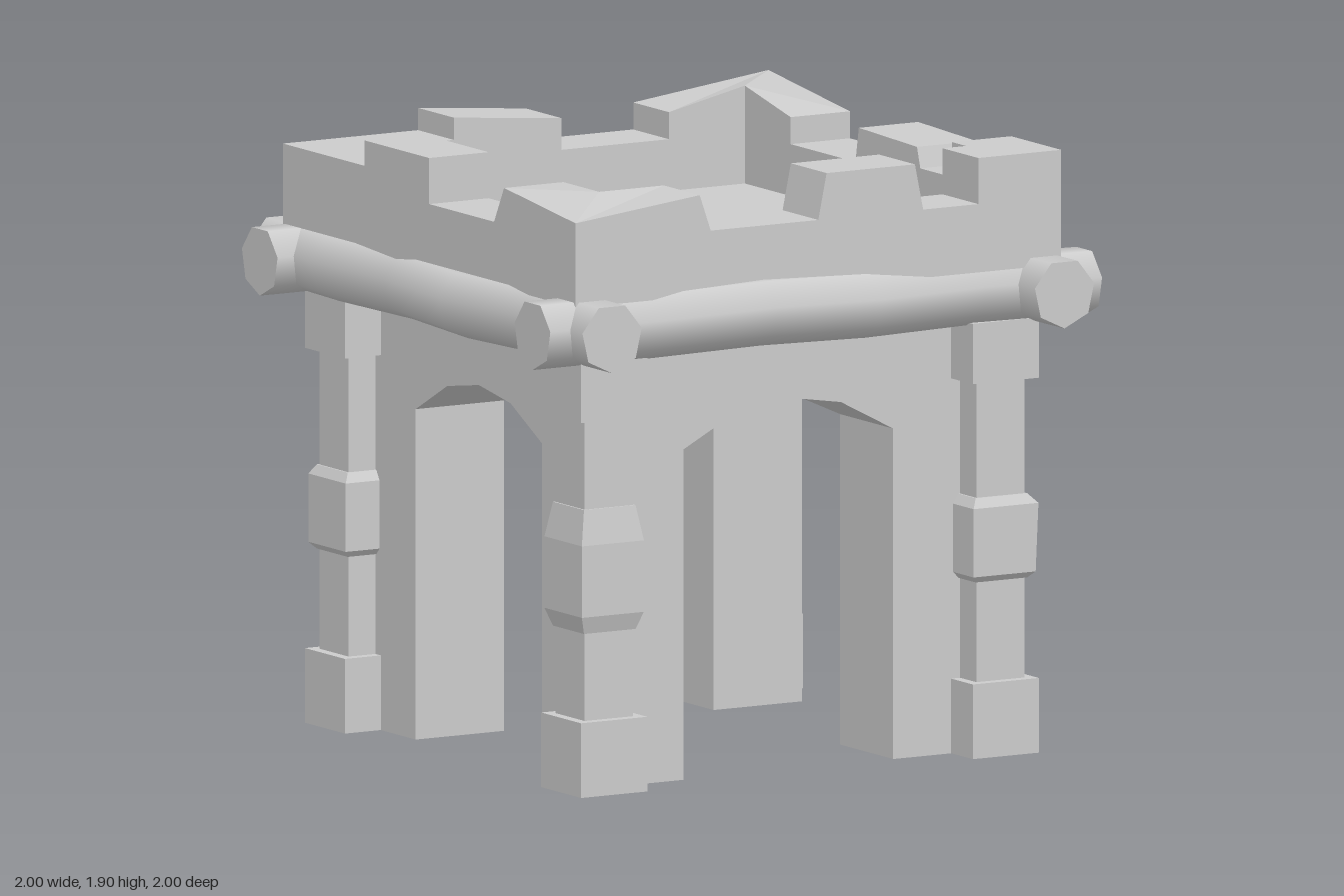
import * as THREE from 'three';

const stone = new THREE.MeshStandardMaterial({ color: 0xcccccc, flatShading: true, side: THREE.DoubleSide });
const timber = new THREE.MeshStandardMaterial({ color: 0xcccccc });

function add(parent, name, geometry, material = stone) {
  const mesh = new THREE.Mesh(geometry, material);
  mesh.name = name;
  parent.add(mesh);
  return mesh;
}

// Move every vertex of a geometry by a rule
function warp(geometry, rule) {
  const p = geometry.attributes.position;
  const v = new THREE.Vector3();
  for (let i = 0; i < p.count; i++) {
    rule(v.fromBufferAttribute(p, i));
    p.setXYZ(i, v.x, v.y, v.z);
  }
  geometry.computeBoundingSphere();
  return geometry;
}

function fromTriangles(points) {
  const geometry = new THREE.BufferGeometry().setFromPoints(points);
  geometry.computeVertexNormals();
  return geometry;
}

const ARCH = [[-0.38, 1.04], [-0.19, 1.14], [0, 1.17], [0.19, 1.14], [0.38, 1.04]];

// Wall with an arched opening, 0.32 thick
function archWall() {
  const outline = [[-0.7, 0], [-0.38, 0], ...ARCH, [0.38, 0], [0.7, 0], [0.7, 1.56], [-0.7, 1.56]];
  const shape = new THREE.Shape(outline.map(([x, y]) => new THREE.Vector2(x, y)));
  return new THREE.ExtrudeGeometry(shape, { depth: 0.32, bevelEnabled: false }).translate(0, 0, 0.38);
}

// Ceiling where the two arched passages cross
function vault() {
  const at = (i, j) => new THREE.Vector3(ARCH[i][0], Math.max(ARCH[i][1], ARCH[j][1]), ARCH[j][0]);
  const tris = [];
  for (let i = 0; i < 4; i++) {
    for (let j = 0; j < 4; j++) {
      const a = at(i, j), b = at(i + 1, j), c = at(i + 1, j + 1), d = at(i, j + 1);
      if ((i < 2) === (j < 2)) tris.push(a, b, c, a, c, d);
      else tris.push(a, b, d, b, c, d);
    }
  }
  return fromTriangles(tris);
}

// Battlement stations per side: [distance along side, outer top, inner top]
const BATTLEMENTS = [
  [[-0.88, 1.82, 1.87], [-0.43, 1.87], [-0.39, 1.755], [0, 1.755], [0.03, 1.9], [0.35, 1.9], [0.38, 1.755],
    [0.58, 1.755], [0.58, 1.9]],
  [[-0.88, 1.9], [-0.58, 1.9], [-0.58, 1.79], [-0.39, 1.79], [-0.37, 1.855], [-0.02, 1.865], [0, 1.755],
    [0.39, 1.755], [0.39, 1.84]],
  [[-0.88, 1.9], [-0.39, 1.84], [-0.39, 1.755], [0, 1.755], [0, 1.855], [0.39, 1.89], [0.39, 1.82]],
  [[-0.88, 1.82], [-0.39, 1.82], [-0.39, 1.9], [0, 1.9], [0, 1.755], [0.39, 1.755], [0.45, 1.87]],
];

// Closed ring of cross-sections: outer foot, outer top, inner top, inner foot
function parapet() {
  const up = new THREE.Vector3(0, 1, 0);
  const sections = BATTLEMENTS.flatMap((side, k) => side.map(([u, outer, inner = outer]) => {
    const w = THREE.MathUtils.clamp(u, -0.665, 0.665);
    return [[u, 1.54, 0.88], [u, outer, 0.88], [w, inner, 0.665], [w, 1.54, 0.665]]
      .map((p) => new THREE.Vector3(...p).applyAxisAngle(up, k * Math.PI / 2));
  }));
  const tris = [];
  sections.forEach((s, i) => {
    const t = sections[(i + 1) % sections.length];
    for (let j = 0; j < 3; j++) tris.push(s[j], t[j], t[j + 1], s[j], t[j + 1], s[j + 1]);
  });
  return fromTriangles(tris);
}

// Seven-sided log along x; bends are [outward, upward] offsets at six stations
function log(bends) {
  const g = new THREE.CylinderGeometry(0.11, 0.11, 2, 7, 5, false, Math.PI / 2).rotateZ(-Math.PI / 2);
  return warp(g, (v) => {
    const [out, rise] = bends[Math.round((v.x + 1) / 0.4)];
    v.z += out + 0.82;
    v.y += rise + 1.47;
  });
}

// Block with chamfered ends; levels are the heights of its four rings
function bandBlock(levels, bulge) {
  return warp(new THREE.BoxGeometry(0.225, 3, 0.225, 1, 3, 1), (v) => {
    const row = Math.round(v.y + 1.5);
    const s = row === 0 || row === 3 ? 0.83 : 1;
    v.set(v.x * s, levels[row], v.z * s);
    if (row === 2 && v.x > 0) v.x += bulge;
  });
}

function pillar(sx, sz) {
  const g = new THREE.Group();
  const frontRight = sx > 0 && sz > 0, frontLeft = sx < 0 && sz > 0, backRight = sx > 0 && sz < 0;
  add(g, 'pillarShaft', new THREE.BoxGeometry(0.175, 1.42, 0.175).translate(0, 0.71, 0));

  // One foot is splayed at its outer rear corner
  const foot = new THREE.BoxGeometry(0.24, 0.235, 0.24).translate(0, 0.1175, 0);
  add(g, 'pillarFoot', warp(foot, (v) => {
    if (frontRight && v.x > 0 && v.z < 0 && v.y < 0.1) {
      v.x += 0.05;
      v.z -= 0.07;
    }
  }));

  const levels = frontLeft ? [0.51, 0.565, 0.79, 0.9] : [0.55, 0.57, 0.785, 0.815];
  add(g, 'pillarBand', bandBlock(levels, frontRight ? 0.01 : 0));

  const bottom = backRight ? 1.08 : 1.18;
  add(g, 'pillarCap', new THREE.BoxGeometry(0.24, 1.37 - bottom, 0.24).translate(0, (1.37 + bottom) / 2, 0));
  g.position.set(sx * 0.71, 0, sz * 0.71);
  return g;
}

export function createModel() {
  const model = new THREE.Group();
  model.name = 'gateTower';

  // Arched walls and the timber beams, front, right, back, left
  const wall = archWall();
  const bends = [
    [[0, 0], [0, 0], [0.045, 0.015], [0.01, 0], [-0.03, 0], [0, 0]],
    [[0, 0], [-0.01, 0], [0.01, 0], [-0.03, 0], [0.01, 0], [0, 0]],
    [[0, 0], [0, 0], [0, 0], [0, 0], [0, 0], [0, 0]],
    [[0, 0], [0.02, 0], [0, 0], [0.04, 0], [0, 0], [0, 0]],
  ];
  ['front', 'right', 'back', 'left'].forEach((side, k) => {
    add(model, side + 'Wall', wall).rotation.y = k * Math.PI / 2;
    add(model, side + 'Log', log(bends[k]), timber).rotation.y = k * Math.PI / 2;
  });
  add(model, 'vault', vault());

  // Roof deck and battlements
  add(model, 'roofDeck', new THREE.BoxGeometry(1.758, 0.05, 1.758).translate(0, 1.567, 0));
  add(model, 'parapet', parapet());

  // Corner pillars
  for (const sx of [-1, 1]) {
    for (const sz of [-1, 1]) {
      const p = pillar(sx, sz);
      p.name = (sz > 0 ? 'front' : 'back') + (sx > 0 ? 'Right' : 'Left') + 'Pillar';
      model.add(p);
    }
  }
  return model;
}
